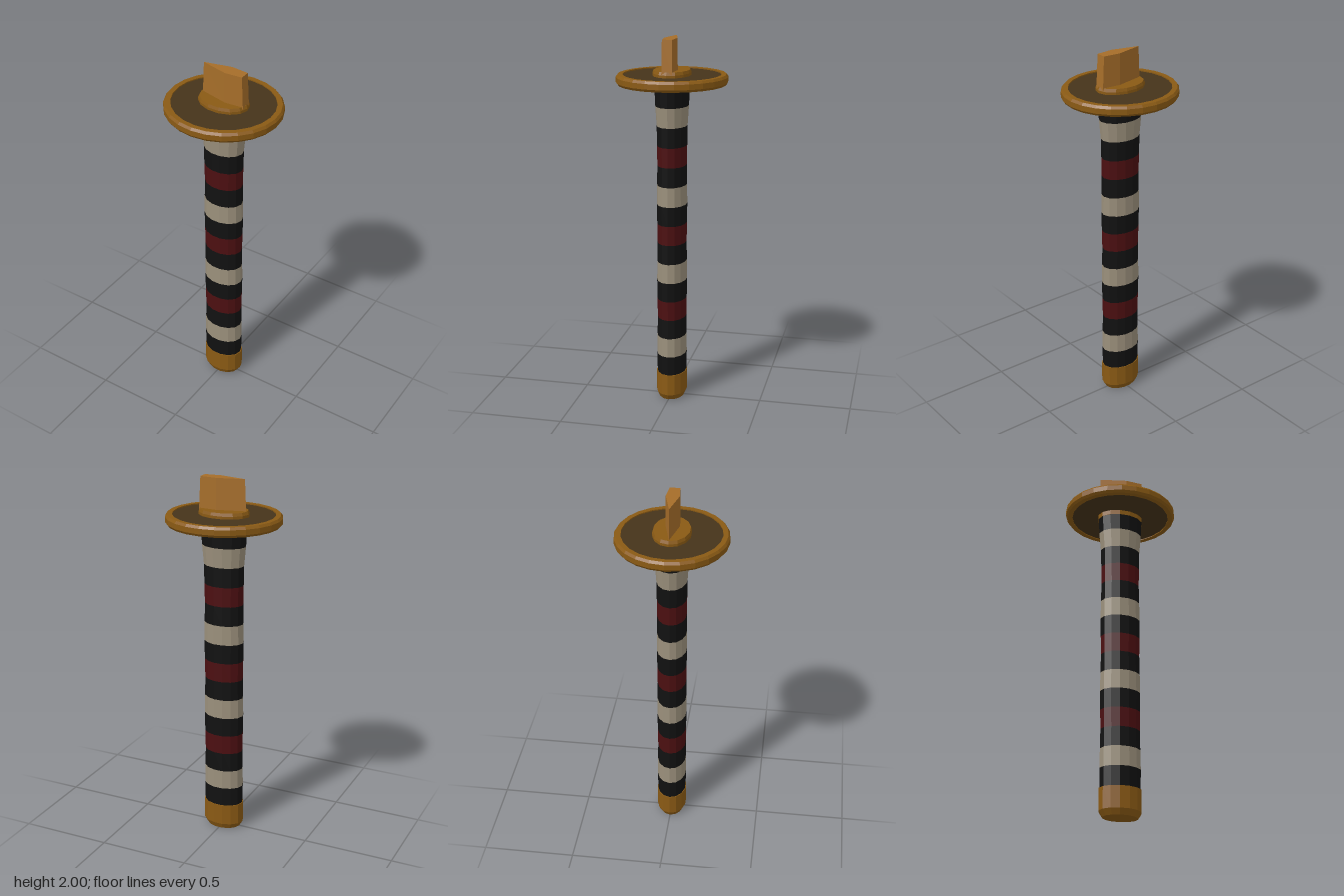
import * as THREE from 'three';

const mat = (name, color) => {
  const m = new THREE.MeshStandardMaterial({ color });
  m.name = name;
  return m;
};

// Faceted elliptical turning: profile of [radius, y] from bottom to top, squashed in z
function turned(name, profile, sides, squash, material) {
  const pts = profile.map(([r, y]) => new THREE.Vector2(r, y));
  const geo = new THREE.LatheGeometry(pts, sides, Math.PI / 2).toNonIndexed();
  geo.scale(1, 1, squash);
  geo.computeVertexNormals();
  const mesh = new THREE.Mesh(geo, material);
  mesh.name = name;
  return mesh;
}

// Wedge blade stub: extruded section that narrows slightly towards the top
function bladeStub(material) {
  const section = [[-0.126, 0], [0.03, -0.037], [0.131, -0.028], [0.131, 0.028], [0.03, 0.037]];
  const shape = new THREE.Shape(section.map(([x, z]) => new THREE.Vector2(x, z)));
  const y0 = 1.82, y1 = 2;
  const geo = new THREE.ExtrudeGeometry(shape, { depth: y1 - y0, bevelEnabled: false });
  geo.rotateX(-Math.PI / 2).translate(0, y0, 0);
  const p = geo.attributes.position;
  for (let i = 0; i < p.count; i++) {
    if (p.getY(i) > 1.9) p.setXYZ(i, p.getX(i) * 0.935, p.getY(i), p.getZ(i) * 0.95);
  }
  geo.computeVertexNormals();
  const mesh = new THREE.Mesh(geo, material);
  mesh.name = 'bladeStub';
  return mesh;
}

export function createModel() {
  const brass = mat('brass', 0x8a5a14);
  const paleBrass = mat('pale brass', 0xa56d29);
  const darkBronze = mat('dark bronze', 0x46341a);
  const black = mat('black wrap', 0x111111);
  const cream = mat('cream wrap', 0x9a8f7b);
  const red = mat('red wrap', 0x4c0f11);

  const model = new THREE.Group();
  model.name = 'swordHilt';
  const GRIP = 0.72;

  // Pommel cap
  model.add(turned('pommel',
    [[0, 0], [0.095, 0], [0.115, 0.032], [0.115, 0.15], [0, 0.15]], 14, GRIP, brass));

  // Grip: fifteen wrap bands, black alternating with cream and red
  const grip = new THREE.Group();
  grip.name = 'grip';
  const bands = 15, step = 1.6 / bands;
  const radiusAt = (i) => {
    if (i === bands) return 0.127;
    if (i === bands - 1) return 0.122;
    return 0.11 + 0.002 * Math.cos(i * Math.PI / 2 - Math.PI / 2);
  };
  for (let i = 0; i < bands; i++) {
    const material = i % 2 === 0 ? black : i % 4 === 1 ? cream : red;
    const top = i === bands - 1 ? 1.737 : 0.15 + (i + 1) * step;
    grip.add(turned('wrapBand' + (i + 1),
      [[radiusAt(i), 0.15 + i * step], [radiusAt(i + 1), top]], 14, GRIP, material));
  }
  model.add(grip);

  // Lower collar under the guard
  model.add(turned('lowerCollar',
    [[0, 1.735], [0.129, 1.735], [0.129, 1.765], [0, 1.765]], 14, GRIP, brass));

  // Guard: dark plate inside a bevelled rim
  model.add(turned('guardPlate',
    [[0, 1.761], [0.285, 1.761], [0.285, 1.804], [0, 1.804]], 24, 0.952, darkBronze));
  model.add(turned('guardRim', [
    [0.273, 1.761], [0.273, 1.756], [0.3, 1.756], [0.31, 1.769],
    [0.31, 1.797], [0.3, 1.81], [0.273, 1.81], [0.273, 1.804],
  ], 24, 0.952, brass));

  // Upper collar and blade
  model.add(turned('upperCollar',
    [[0.14, 1.8], [0.14, 1.818], [0.133, 1.834], [0, 1.834]], 14, GRIP, brass));
  model.add(bladeStub(paleBrass));
  return model;
}
